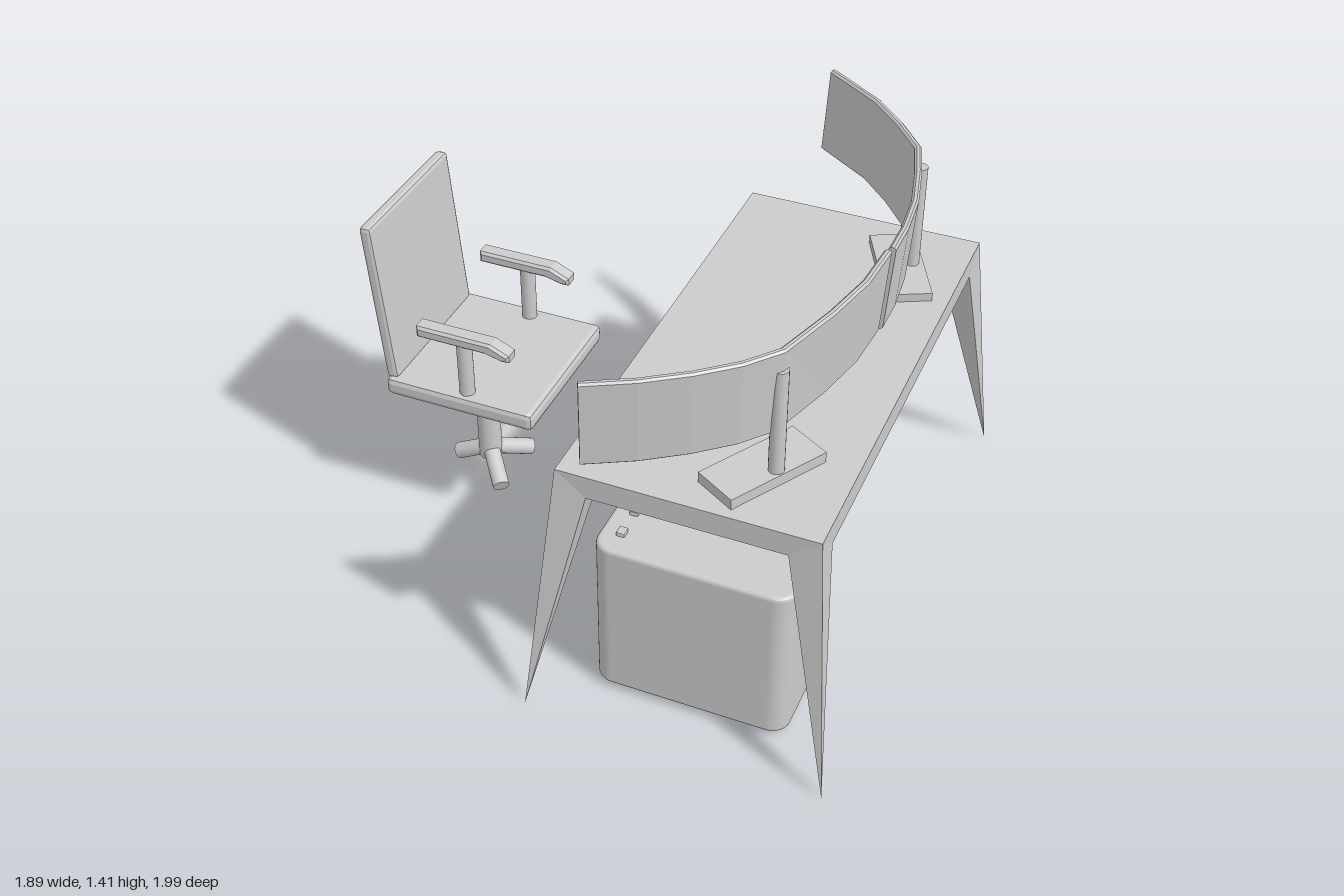
import * as THREE from 'three';
import { RoundedBoxGeometry } from 'three/addons/geometries/RoundedBoxGeometry.js';
import { ConvexGeometry } from 'three/addons/geometries/ConvexGeometry.js';

const smooth = new THREE.MeshStandardMaterial({ color: 0xcccccc });
const flat = new THREE.MeshStandardMaterial({ color: 0xcccccc, flatShading: true });
const V = (x, y, z) => new THREE.Vector3(x, y, z);

function add(parent, name, geometry, x = 0, y = 0, z = 0, material = flat) {
  const mesh = new THREE.Mesh(geometry, material);
  mesh.name = name;
  mesh.position.set(x, y, z);
  parent.add(mesh);
  return mesh;
}

// Cylinder running between two points
function rod(parent, name, a, b, r) {
  const geo = new THREE.CylinderGeometry(r, r, a.distanceTo(b), 20);
  const mid = a.clone().add(b).multiplyScalar(0.5);
  const mesh = add(parent, name, geo, mid.x, mid.y, mid.z, smooth);
  mesh.quaternion.setFromUnitVectors(V(0, 1, 0), b.clone().sub(a).normalize());
  return mesh;
}

// Curved screen: a chamfered, slightly tilted cross-section swept along [x, z] points
function screenGeometry(path, y0, y1) {
  const t = 0.024, c = 0.007, lean = 0.022, h = y1 - y0;
  // [depth inward, height]
  const section = [[c, 0], [t - c, 0], [t, c], [t, h - c], [t - c, h], [c, h], [0, h - c], [0, c]];
  const n = section.length, pos = [], idx = [];
  path.forEach((p, i) => {
    const a = path[Math.max(i - 1, 0)], b = path[Math.min(i + 1, path.length - 1)];
    const dx = b[0] - a[0], dz = b[1] - a[1], l = Math.hypot(dx, dz);
    for (const [d, y] of section) {
      const s = d + lean * (1 - y / h);
      pos.push(p[0] - (dz / l) * s, y0 + y, p[1] + (dx / l) * s);
    }
  });
  const last = (path.length - 1) * n;
  for (let i = 0; i < path.length - 1; i++) {
    for (let j = 0; j < n; j++) {
      const a = i * n + j, b = i * n + (j + 1) % n;
      idx.push(a, a + n, b, b, a + n, b + n);
    }
  }
  for (let j = 1; j < n - 1; j++) {
    idx.push(0, j, j + 1, last, last + j + 1, last + j);
  }
  const geo = new THREE.BufferGeometry();
  geo.setAttribute('position', new THREE.Float32BufferAttribute(pos, 3));
  geo.setIndex(idx);
  geo.computeVertexNormals();
  return geo;
}

function createDesk() {
  const g = new THREE.Group();
  g.name = 'desk';
  add(g, 'deskTop', new THREE.BoxGeometry(0.84, 0.08, 1.67), 0.44, 0.89, -0.005);
  // Pointed legs splaying out from the corners
  for (const sx of [-1, 1]) {
    for (const sz of [-1, 1]) {
      const at = (ox, y, oz) => V(0.44 + sx * (0.42 + ox), y, -0.005 + sz * (0.835 + oz));
      add(g, 'deskLeg', new ConvexGeometry([
        at(0, 0.93, 0), at(-0.1, 0.85, 0), at(0, 0.85, -0.1),
        at(-0.1, 0.85, -0.1), at(0.085, 0, 0.112),
      ]));
    }
  }
  return g;
}

function createMonitor(name, path, y0, y1, pole, base, angle, baseTop) {
  const g = new THREE.Group();
  g.name = name;
  add(g, 'screen', screenGeometry(path, y0, y1));
  rod(g, 'standPole', V(pole[0], 0.95, pole[1]), V(pole[0], 1.337, pole[1]), 0.025);
  const foot = add(g, 'standBase', new THREE.BoxGeometry(0.157, baseTop - 0.93, 0.361),
    base[0], (0.93 + baseTop) / 2, base[1]);
  foot.rotation.y = angle;
  return g;
}

function createChair() {
  const g = new THREE.Group();
  g.name = 'chair';
  add(g, 'seat', new RoundedBoxGeometry(0.555, 0.068, 0.575, 1, 0.02), -0.612, 0.578, -0.002);
  const back = add(g, 'backrest', new RoundedBoxGeometry(0.045, 0.6, 0.54, 1, 0.014), -0.897, 0.9, -0.005);
  back.rotation.z = 0.087;
  rod(g, 'seatPost', V(-0.655, 0.14, 0), V(-0.655, 0.55, 0), 0.042);
  // Three-legged foot
  for (const [x, z] of [[-0.785, 0], [-0.555, 0.122], [-0.555, -0.122]]) {
    rod(g, 'chairFoot', V(-0.655, 0.175, 0), V(x, 0.108, z), 0.03);
  }
  // Armrests with a drooping front end
  const outline = [[-0.755, 0.822], [-0.51, 0.822], [-0.45, 0.807], [-0.43, 0.808],
    [-0.43, 0.82], [-0.49, 0.847], [-0.755, 0.847]].map(p => new THREE.Vector2(...p));
  const armGeo = new THREE.ExtrudeGeometry(new THREE.Shape(outline), {
    depth: 0.044, bevelSize: 0.009, bevelThickness: 0.009, bevelSegments: 1,
  }).translate(0, 0, -0.022);
  for (const s of [-1, 1]) {
    add(g, 'armrest', armGeo, s * 0.004, 0, s * 0.241);
    rod(g, 'armrestPost', V(-0.595, 0.6, s * 0.241), V(-0.595, 0.825, s * 0.241), 0.027);
  }
  return g;
}

function createTower() {
  const g = new THREE.Group();
  g.name = 'computerTower';
  // Case rounded in plan, with a soft rim above and below
  const b = 0.014, r = 0.05, w = 0.33 - b, d = 0.145 - b;
  const plan = new THREE.Shape();
  plan.absarc(w - r, d - r, r, 0, Math.PI / 2);
  plan.absarc(-w + r, d - r, r, Math.PI / 2, Math.PI);
  plan.absarc(-w + r, -d + r, r, Math.PI, Math.PI * 1.5);
  plan.absarc(w - r, -d + r, r, Math.PI * 1.5, Math.PI * 2);
  const geo = new THREE.ExtrudeGeometry(plan, {
    depth: 0.583 - 2 * b, bevelSize: b, bevelThickness: b, bevelSegments: 3, curveSegments: 6,
  }).rotateX(-Math.PI / 2);
  add(g, 'case', geo, 0.43, 0.02 + b, 0.627, smooth);
  for (const z of [0.575, 0.68]) {
    add(g, 'button', new RoundedBoxGeometry(0.03, 0.024, 0.036, 1, 0.006), 0.17, 0.605, z);
  }
  return g;
}

export function createModel() {
  const model = new THREE.Group();
  model.name = 'workstation';
  model.add(createDesk(), createChair(), createTower());
  // Two curved screens, outer edges given back to front
  model.add(createMonitor('rightMonitor', [[0.257, -0.995], [0.46, -0.857], [0.58, -0.735], [0.68, -0.61],
    [0.725, -0.465], [0.767, -0.29], [0.783, -0.13], [0.783, 0]], 1.095, 1.403,
  [0.688, -0.59], [0.656, -0.567], 0.457, 0.96));
  model.add(createMonitor('leftMonitor', [[0.778, 0.03], [0.767, 0.21], [0.725, 0.4], [0.656, 0.624],
    [0.57, 0.73], [0.46, 0.825], [0.33, 0.915], [0.185, 0.993]], 1.105, 1.413,
  [0.64, 0.615], [0.592, 0.6], -0.533, 0.967));
  return model;
}
